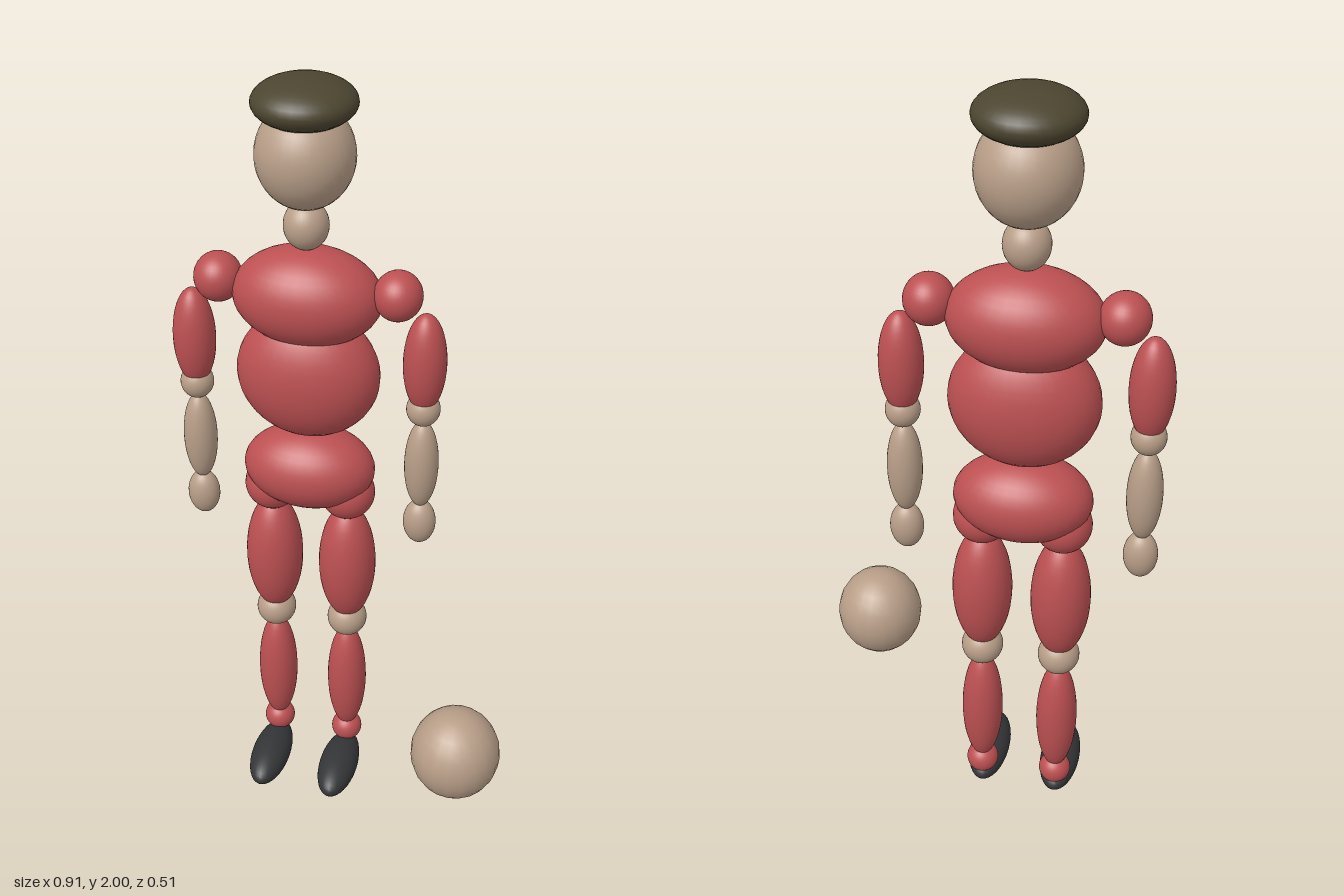
import * as THREE from 'three';

export function createModel() {
  const model = new THREE.Group();
  const material = (name, color) => {
    const m = new THREE.MeshStandardMaterial({ color });
    m.name = name;
    return m;
  };
  const red = material('red cloth', 0xbc5052);
  const skin = material('skin', 0xb89e88);
  const olive = material('olive hat', 0x4c4530);
  const black = material('black shoe', 0x343537);

  const round = new THREE.SphereGeometry(1, 32, 20);
  const coarse = new THREE.SphereGeometry(1, 20, 14);

  // Every part is an ellipsoid: centre and radii
  function ellipsoid(parent, name, mat, [x, y, z], [rx, ry, rz], geometry = round) {
    const mesh = new THREE.Mesh(geometry, mat);
    mesh.name = name;
    mesh.position.set(x, y, z);
    mesh.scale.set(rx, ry, rz);
    parent.add(mesh);
  }

  // The figure stands left of and behind the ball
  const figure = new THREE.Group();
  figure.name = 'figure';
  figure.position.set(-0.115, 0, -0.132);
  model.add(figure);

  // Head and trunk
  ellipsoid(figure, 'hat', olive, [0, 1.944, 0], [0.121, 0.056, 0.121]);
  ellipsoid(figure, 'head', skin, [0, 1.821, 0], [0.116, 0.125, 0.116]);
  ellipsoid(figure, 'neck', skin, [0, 1.652, 0], [0.054, 0.06, 0.054]);
  ellipsoid(figure, 'chest', red, [0, 1.472, 0], [0.183, 0.122, 0.123]);
  ellipsoid(figure, 'belly', red, [0, 1.262, 0], [0.179, 0.17, 0.116]);
  ellipsoid(figure, 'pelvis', red, [0, 0.99, 0], [0.169, 0.109, 0.116]);

  // Arms and legs, mirrored
  for (const [side, s] of [['left', 1], ['right', -1]]) {
    const arm = new THREE.Group();
    arm.name = side + 'Arm';
    ellipsoid(arm, 'shoulder', red, [s * 0.219, 1.496, 0], [0.059, 0.061, 0.061]);
    ellipsoid(arm, 'upperArm', red, [s * 0.288, 1.325, 0], [0.053, 0.132, 0.053]);
    ellipsoid(arm, 'elbow', skin, [s * 0.288, 1.198, 0], [0.042, 0.044, 0.042]);
    ellipsoid(arm, 'forearm', skin, [s * 0.288, 1.037, 0], [0.043, 0.125, 0.043]);
    ellipsoid(arm, 'hand', skin, [s * 0.288, 0.862, 0], [0.042, 0.063, 0.037]);

    const leg = new THREE.Group();
    leg.name = side + 'Leg';
    ellipsoid(leg, 'hip', red, [s * 0.099, 0.922, 0], [0.071, 0.071, 0.071]);
    ellipsoid(leg, 'thigh', red, [s * 0.099, 0.698, 0], [0.075, 0.178, 0.075]);
    ellipsoid(leg, 'knee', skin, [s * 0.099, 0.51, 0], [0.053, 0.053, 0.053]);
    ellipsoid(leg, 'shin', red, [s * 0.099, 0.296, 0], [0.053, 0.178, 0.053]);
    ellipsoid(leg, 'ankle', red, [s * 0.099, 0.104, 0], [0.042, 0.042, 0.042]);
    ellipsoid(leg, 'foot', black, [s * 0.099, 0.046, 0.1], [0.053, 0.046, 0.125]);
    figure.add(arm, leg);
  }

  // Loose ball in front
  ellipsoid(model, 'ball', skin, [0.337, 0.339, 0.139], [0.116, 0.125, 0.116], coarse);
  return model;
}
